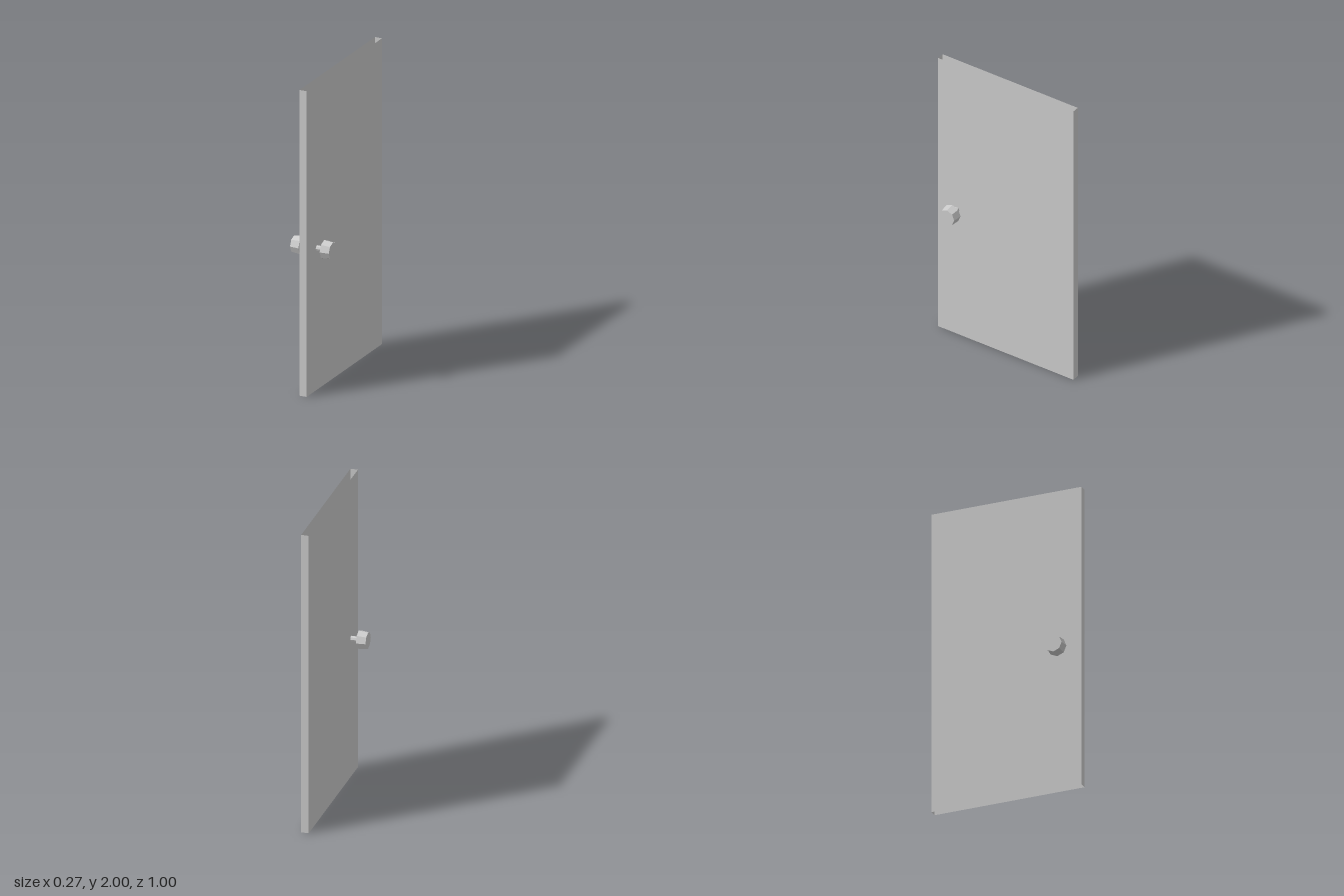
import * as THREE from 'three';

const HEIGHT = 2, WIDTH = 1, THICK = 0.048;
const KNOB_Y = 0.927, KNOB_Z = 0.361;

export function createModel() {
  const group = new THREE.Group();
  const material = new THREE.MeshStandardMaterial({
    color: 0xcccccc, flatShading: true, side: THREE.DoubleSide,
  });

  function add(name, geometry, x, y, z, parent = group) {
    const mesh = new THREE.Mesh(geometry, material);
    mesh.name = name;
    mesh.position.set(x, y, z);
    parent.add(mesh);
    return mesh;
  }

  // Hollow door panel: four upright walls, open at top and bottom
  const door = new THREE.Group();
  door.name = 'doorPanel';
  group.add(door);
  for (const s of [1, -1]) {
    const turn = s > 0 ? 0 : Math.PI;
    add(s > 0 ? 'leftFace' : 'rightFace', new THREE.PlaneGeometry(WIDTH, HEIGHT),
      s * THICK / 2, HEIGHT / 2, 0, door).rotation.y = s * Math.PI / 2;
    add(s > 0 ? 'frontEdge' : 'backEdge', new THREE.PlaneGeometry(THICK, HEIGHT),
      0, HEIGHT / 2, s * WIDTH / 2, door).rotation.y = turn;
  }

  // Spindle running through the door
  add('knobSpindle', new THREE.CylinderGeometry(0.018, 0.018, 0.148, 8),
    0, KNOB_Y, KNOB_Z).rotation.z = Math.PI / 2;

  // Eight-sided knobs, tapering towards their outer faces
  for (const s of [1, -1]) {
    add(s > 0 ? 'leftKnob' : 'rightKnob', new THREE.CylinderGeometry(0.0545, 0.0605, 0.06, 8),
      s * 0.103, KNOB_Y, KNOB_Z).rotation.z = -s * Math.PI / 2;
  }

  return group;
}
